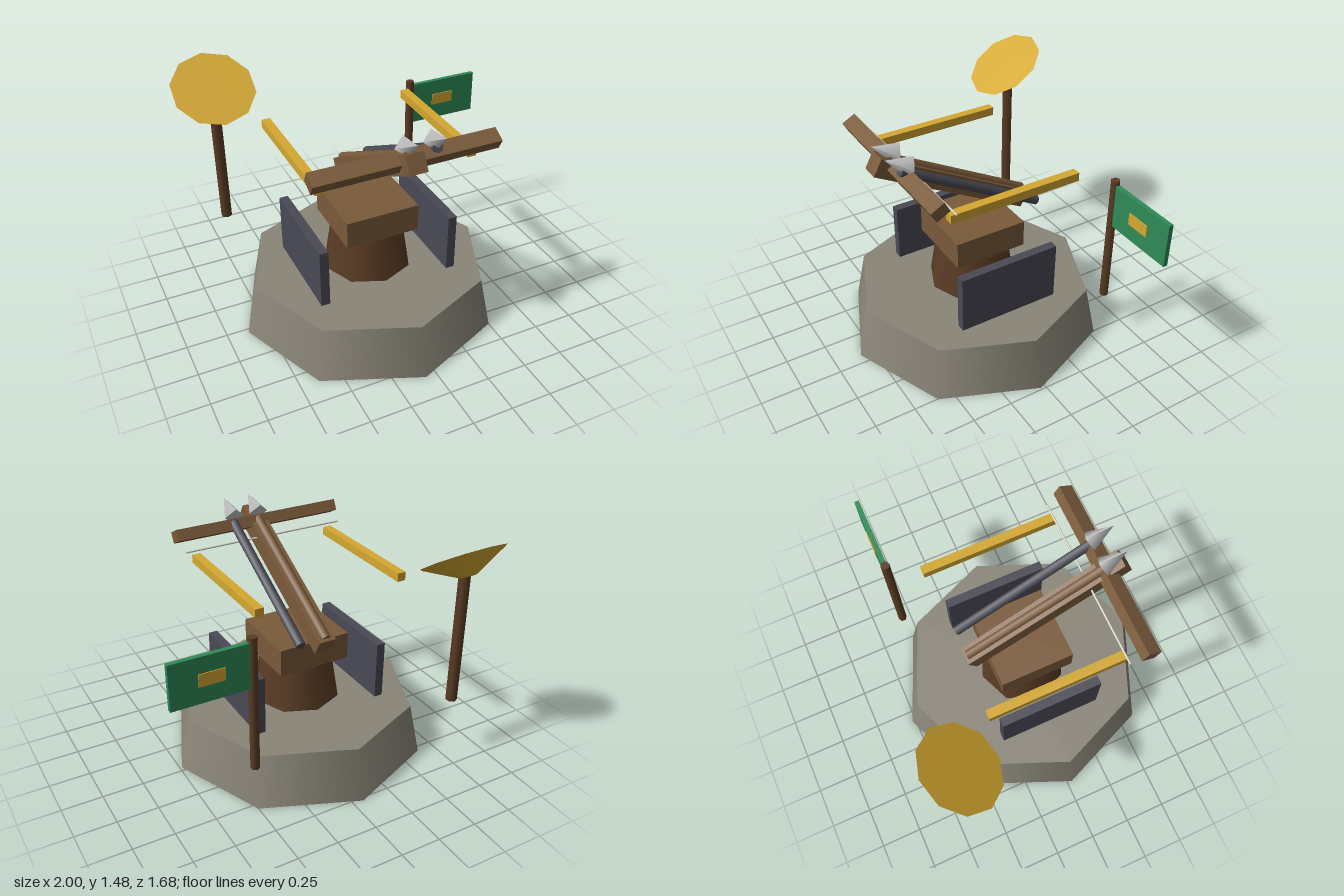
import * as THREE from 'three';

const colour = (name, hex) => {
  const m = new THREE.MeshStandardMaterial({ color: hex });
  m.name = name;
  return m;
};

export function createModel() {
  const stone = colour('stone', 0x8a8578);
  const darkWood = colour('dark wood', 0x5a3c24);
  const wood = colour('wood', 0x7a5a3a);
  const iron = colour('dark iron', 0x4a4a55);
  const gold = colour('gold', 0xd4a830);
  const green = colour('green cloth', 0x2e8b57);
  const steel = colour('steel', 0xc4c4c4);
  const cord = colour('cord', 0xd8d8c8);

  const model = new THREE.Group();
  model.name = 'ballistaTurret';

  const add = (name, geometry, material, x, y, z, rx = 0, rz = 0) => {
    const mesh = new THREE.Mesh(geometry, material);
    mesh.name = name;
    mesh.position.set(x, y, z);
    mesh.rotation.set(rx, 0, rz);
    model.add(mesh);
    return mesh;
  };
  const box = (w, h, d) => new THREE.BoxGeometry(w, h, d);
  const cyl = (top, bottom, h, sides) => new THREE.CylinderGeometry(top, bottom, h, sides);

  const CX = -0.067, CZ = 0.03; // turret axis
  const TILT = 0.5;             // upward aim of the weapon

  // Base, pedestal and turntable
  add('base', cyl(0.735, 0.805, 0.325, 8), stone, CX, 0.1625, CZ);
  add('pedestal', cyl(0.23, 0.275, 0.28, 8), darkWood, CX, 0.464, CZ);
  add('turntable', box(0.46, 0.17, 0.46), wood, CX, 0.695, CZ);

  // Shield plates and gold rails on both sides
  for (const side of [-1, 1]) {
    const label = side > 0 ? 'left' : 'right';
    add(label + 'ShieldPlate', box(0.055, 0.37, 0.645), iron, CX + side * 0.414, 0.51, CZ);
    add(label + 'Rail', box(0.053, 0.052, 0.825), gold, CX + side * 0.46, 1.175, 0.025);
  }

  // Stock, bow and string
  add('stock', box(0.11, 0.11, 1.092), wood, CX, 1.0675, 0.163, -TILT);
  add('bow', box(1.105, 0.07, 0.092), wood, CX, 1.295, 0.531, TILT);
  add('bowString', cyl(0.006, 0.006, 1.06, 6), cord, CX, 1.228, 0.425, 0, Math.PI / 2);

  // Two bolts: one in the stock, a spare beside it
  const bolts = [['loadedBolt', CX, wood], ['spareBolt', 0.1, iron]];
  for (const [name, x, material] of bolts) {
    add(name + 'Shaft', cyl(0.03, 0.03, 1.01, 8), material, x, 1.103, 0.121, Math.PI / 2 - TILT);
    add(name + 'Head', new THREE.ConeGeometry(0.062, 0.161, 4), steel, x, 1.399, 0.578, Math.PI / 2 - TILT);
  }

  // Flag with a gold emblem showing on both faces
  add('flagPole', cyl(0.027, 0.027, 0.83, 6), darkWood, 0.528, 0.74, -0.565);
  add('flag', box(0.45, 0.272, 0.028), green, 0.775, 0.991, -0.566);
  for (const side of [-1, 1]) {
    add('flagEmblem', box(0.15, 0.075, 0.006), gold, 0.765, 0.993, -0.566 + side * 0.016);
  }

  // Signal dish on its post
  add('dishPost', cyl(0.035, 0.035, 0.84, 6), darkWood, -0.758, 0.84, -0.658);
  add('dish', cyl(0.255, 0.045, 0.11, 10), gold, -0.757, 1.295, -0.663, 0.6);

  return model;
}
